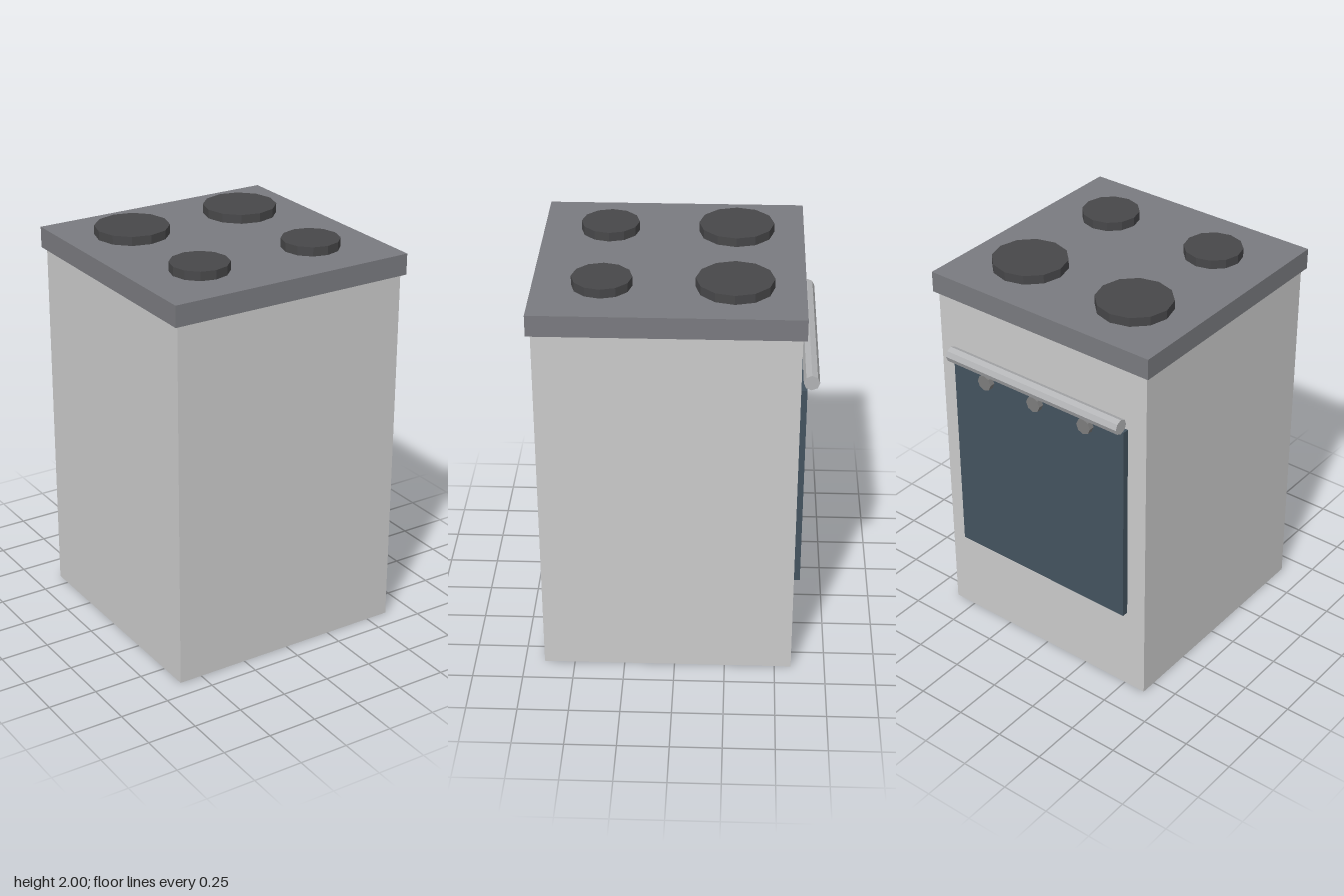
import * as THREE from 'three';

const mat = (color) => new THREE.MeshStandardMaterial({ color, flatShading: true });

export function createModel() {
  const stove = new THREE.Group();
  stove.name = 'stove';

  const steel = mat(0xcccccc);
  const slab = mat(0x7a7b80);
  const iron = mat(0x48484a);
  const glass = mat(0x44535f);
  const chrome = mat(0xb3b4b6);
  const knobGrey = mat(0x7d7d7d);

  const add = (name, geometry, material, x, y, z) => {
    const mesh = new THREE.Mesh(geometry, material);
    mesh.name = name;
    mesh.position.set(x, y, z);
    stove.add(mesh);
    return mesh;
  };

  // Cabinet and overhanging cooktop
  const cz = 0.035;
  add('body', new THREE.BoxGeometry(1.234, 1.85, 1.234), steel, 0, 0.925, cz);
  add('cooktop', new THREE.BoxGeometry(1.274, 0.105, 1.274), slab, 0, 1.9025, cz);

  // Hotplates: large pair near the door, small pair opposite
  for (const side of [1, -1]) {
    const name = side > 0 ? 'left' : 'right';
    add(name + 'LargeBurner', new THREE.CylinderGeometry(0.184, 0.184, 0.05, 12), iron, side * 0.31, 1.975, -0.272);
    add(name + 'SmallBurner', new THREE.CylinderGeometry(0.143, 0.143, 0.05, 12), iron, side * 0.31, 1.975, 0.346);
  }

  // Oven door with its bar handle
  add('ovenDoor', new THREE.BoxGeometry(1.024, 1.07, 0.034), glass, 0, 0.99, -0.598);
  const handle = add('handle', new THREE.CylinderGeometry(0.038, 0.038, 1.024, 8), chrome, 0, 1.567, -0.634);
  handle.rotation.z = Math.PI / 2;

  // Three knobs below the handle
  for (const x of [-0.3, 0, 0.3]) {
    const knob = add('knob', new THREE.CylinderGeometry(0.04, 0.04, 0.04, 8), knobGrey, x, 1.486, -0.623);
    knob.rotation.x = Math.PI / 2;
  }

  return stove;
}
